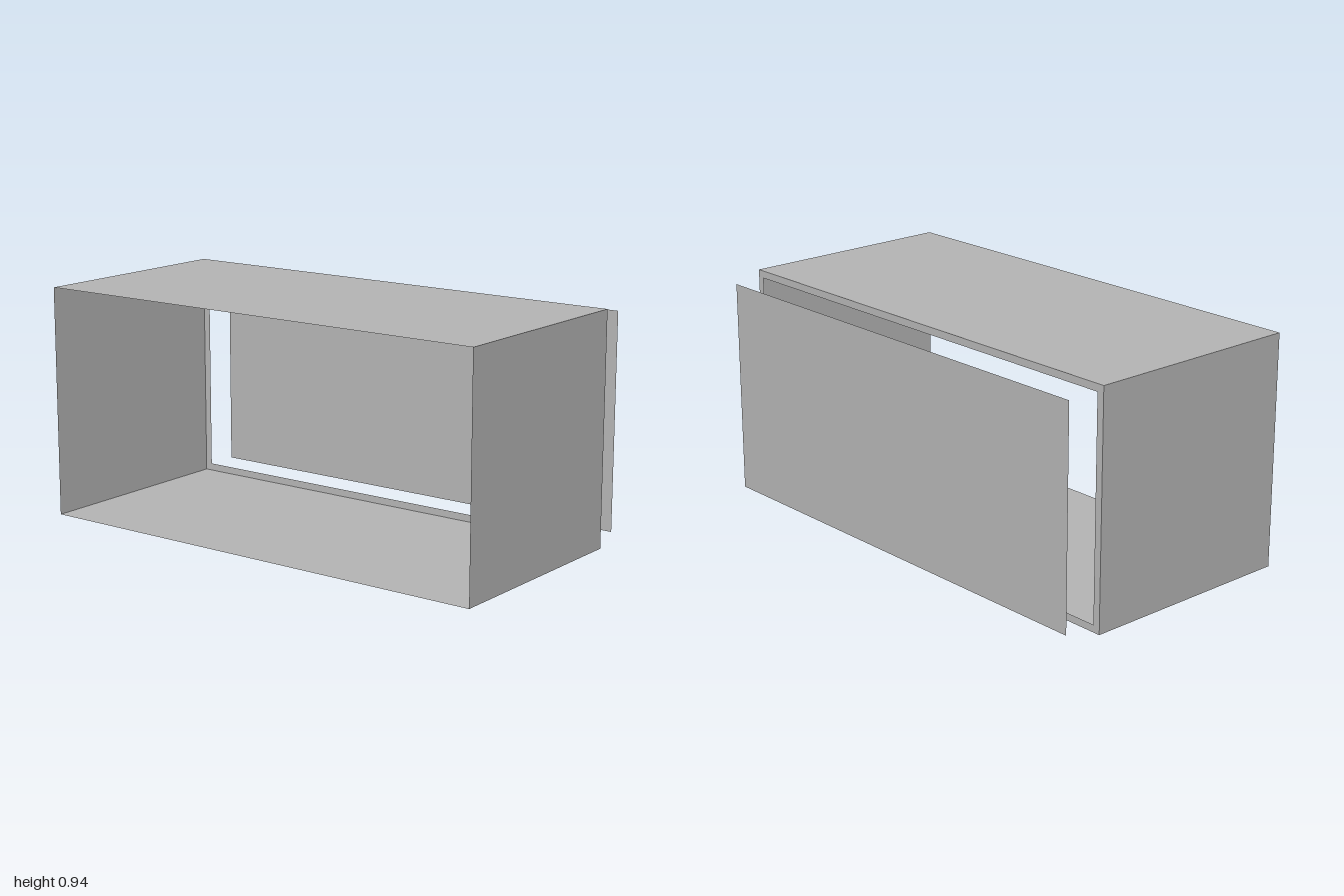
import * as THREE from 'three';

const W = 2, H = 0.94, FRONT = 0.525, BACK = -0.39, PANEL_Z = -0.525, RIM = 0.03;

export function createModel() {
  const model = new THREE.Group();
  model.name = 'openCabinet';
  const grey = new THREE.MeshStandardMaterial({ color: 0xb2b2b2, side: THREE.DoubleSide });
  grey.name = 'grey';

  const add = (name, geometry, x, y, z, rx = 0, ry = 0) => {
    const mesh = new THREE.Mesh(geometry, grey);
    mesh.name = name;
    mesh.position.set(x, y, z);
    mesh.rotation.set(rx, ry, 0);
    model.add(mesh);
  };

  // Sheet walls, open at the front
  const depth = FRONT - BACK, midZ = (FRONT + BACK) / 2, q = Math.PI / 2;
  add('topWall', new THREE.PlaneGeometry(W, depth), 0, H, midZ, -q);
  add('bottomWall', new THREE.PlaneGeometry(W, depth), 0, 0, midZ, q);
  add('leftWall', new THREE.PlaneGeometry(depth, H), W / 2, H / 2, midZ, 0, q);
  add('rightWall', new THREE.PlaneGeometry(depth, H), -W / 2, H / 2, midZ, 0, -q);

  // Narrow rim around the back opening
  const rectangle = (path, w, h) => path.moveTo(-w / 2, -h / 2)
    .lineTo(w / 2, -h / 2).lineTo(w / 2, h / 2).lineTo(-w / 2, h / 2).closePath();
  const innerW = W - 2 * RIM, innerH = H - 2 * RIM;
  const rim = rectangle(new THREE.Shape(), W, H);
  rim.holes.push(rectangle(new THREE.Path(), innerW, innerH));
  add('backRim', new THREE.ShapeGeometry(rim), 0, H / 2, BACK, 0, Math.PI);

  // Loose back panel, the size of the opening, set off behind it
  add('backPanel', new THREE.PlaneGeometry(innerW, innerH), 0, H / 2, PANEL_Z, 0, Math.PI);

  return model;
}
